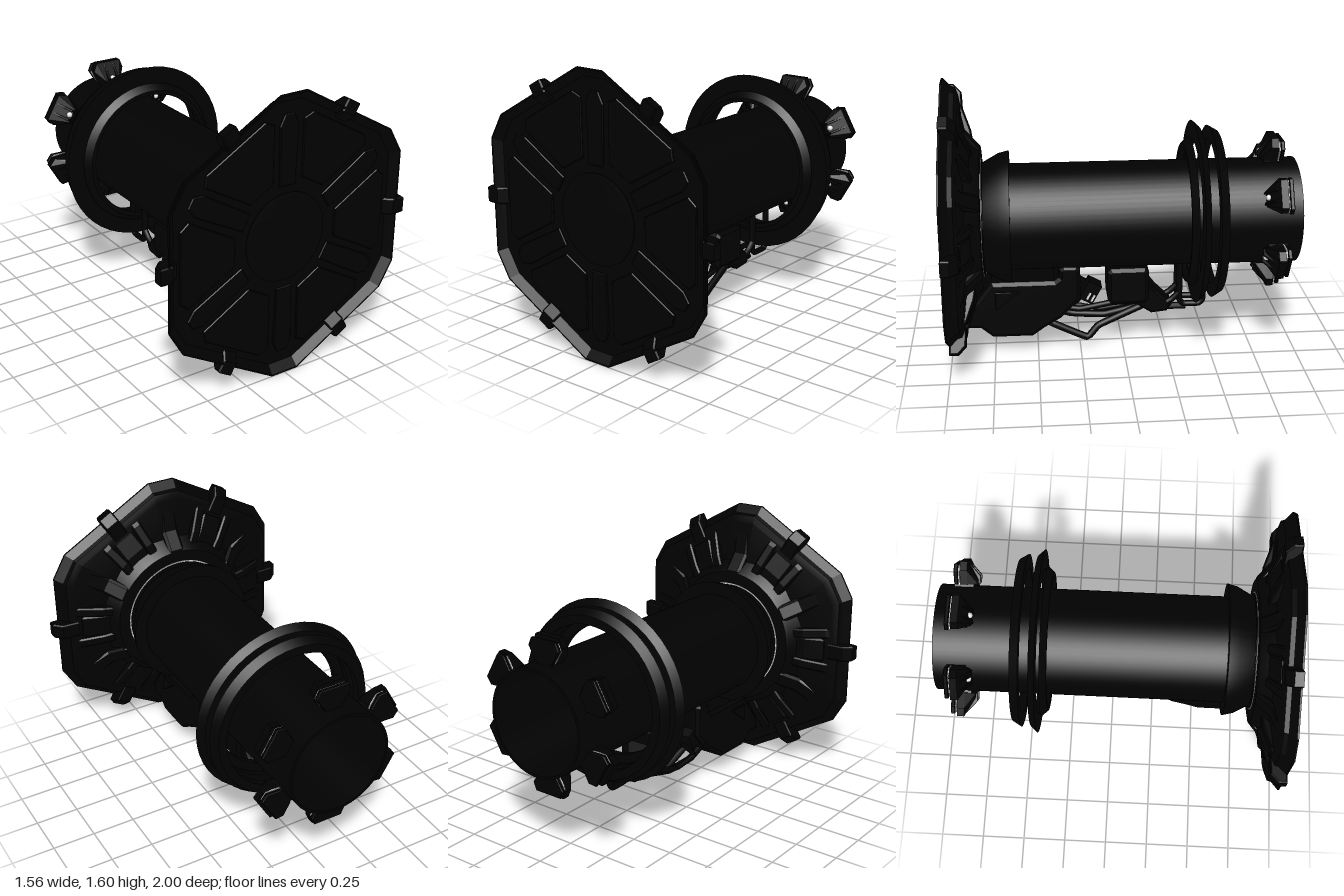
import * as THREE from 'three';
import { toCreasedNormals } from 'three/addons/utils/BufferGeometryUtils.js';
import { ConvexGeometry } from 'three/addons/geometries/ConvexGeometry.js';

const black = new THREE.MeshStandardMaterial({ color: 0x010101, side: THREE.DoubleSide });
black.name = 'black';
const white = new THREE.MeshStandardMaterial({ color: 0xf0f0f0, side: THREE.DoubleSide });
white.name = 'white';

const AXIS = 0.805; // height of the barrel axis

function add(parent, name, geometry, material = black) {
  const mesh = new THREE.Mesh(geometry, material);
  mesh.name = name;
  parent.add(mesh);
  return mesh;
}

// Turned part around the z axis from [radius, z] points
function turned(points, segments = 48) {
  const g = new THREE.LatheGeometry(points.map(p => new THREE.Vector2(...p)), segments);
  return toCreasedNormals(g.rotateX(Math.PI / 2), 0.5);
}

// Box between two corners
function box(x0, x1, y0, y1, z0, z1) {
  return new THREE.BoxGeometry(x1 - x0, y1 - y0, z1 - z0)
    .translate((x0 + x1) / 2, (y0 + y1) / 2, (z0 + z1) / 2);
}

const shapeOf = pts => new THREE.Shape(pts.map(p => new THREE.Vector2(...p)));

// Flat plate in xy between two depths, with a chamfered edge
function plate(shape, z0, z1, bevel = 0) {
  return new THREE.ExtrudeGeometry(shape, {
    depth: z1 - z0 - 2 * bevel, bevelEnabled: bevel > 0, bevelSize: bevel,
    bevelThickness: bevel, bevelOffset: -bevel, bevelSegments: 1, curveSegments: 8,
  }).translate(0, 0, z0 + bevel);
}

// Side profile of [z, y] points given a width in x
function sideBlock(pts, width, bevel = 0.015, x = 0) {
  return plate(shapeOf(pts), -width / 2, width / 2, bevel).rotateY(-Math.PI / 2).translate(x, 0, 0);
}

// Six copies around the z axis; local +y points outwards
function sixfold(parent, name, startDeg, build) {
  for (let i = 0; i < 6; i++) {
    const g = new THREE.Group();
    g.name = name;
    g.rotation.z = THREE.MathUtils.degToRad(startDeg + i * 60);
    build(g);
    parent.add(g);
  }
}

// Hexagon with cut corners
function outline(scale) {
  const pts = [];
  for (let i = 0; i < 6; i++) {
    for (const side of [-1, 1]) {
      const a = Math.PI / 6 + i * Math.PI / 3 + side * 0.1035;
      pts.push([Math.cos(a) * 0.808 * scale, Math.sin(a) * 0.808 * scale]);
    }
  }
  return pts;
}

// Stack of scaled outlines, [scale, z] each, closed at both ends
function outlineStack(levels) {
  const pos = [], idx = [], n = 12;
  for (const [s, z] of levels) for (const [x, y] of outline(s)) pos.push(x, y, z);
  for (let l = 0; l < levels.length - 1; l++) {
    for (let i = 0; i < n; i++) {
      const a = l * n + i, b = l * n + (i + 1) % n;
      idx.push(a, b, b + n, a, b + n, a + n);
    }
  }
  const last = (levels.length - 1) * n;
  for (let i = 1; i < n - 1; i++) idx.push(0, i + 1, i, last, last + i, last + i + 1);
  const g = new THREE.BufferGeometry();
  g.setAttribute('position', new THREE.Float32BufferAttribute(pos, 3));
  g.setIndex(idx);
  return toCreasedNormals(g, 0.3);
}

// Cable with tight bends
function cable(points, radius) {
  const curve = new THREE.CatmullRomCurve3(points.map(p => new THREE.Vector3(...p)), false, 'catmullrom', 0.15);
  return new THREE.TubeGeometry(curve, 40, radius, 10);
}

function buildHatch(g) {
  // Dished body: rear slope, sharp rim, shallow front recess
  add(g, 'hatchBody', outlineStack([[0.46, 0.86], [0.66, 0.895], [0.88, 0.91], [0.93, 0.925], [0.94, 0.95], [0.995, 0.99], [0.995, 1], [0.985, 1], [0.93, 0.96]]));
  // Low relief inside the recess
  add(g, 'frontBoss', turned([[0.25, 0.955], [0.25, 0.966], [0.235, 0.97], [0, 0.97]]));
  sixfold(g, 'frontSpoke', 0, s => {
    add(s, 'spokeBar', plate(shapeOf([[-0.05, 0.29], [0.05, 0.29], [0.06, 0.62], [0.03, 0.68], [-0.03, 0.68], [-0.06, 0.62]]), 0.95, 0.97, 0.005));
  });
  sixfold(g, 'frontPanel', 30, s => {
    add(s, 'panel', plate(shapeOf([[-0.08, 0.32], [0.08, 0.32], [0.24, 0.6], [0.2, 0.65], [-0.2, 0.65], [-0.24, 0.6]]), 0.95, 0.97, 0.005));
  });
  // Rear hub and raised ribs
  add(g, 'rearHub', turned([[0.3, 0.8], [0.41, 0.8], [0.425, 0.815], [0.46, 0.87], [0.5, 0.92]]));
  sixfold(g, 'rearSpoke', 0, s => {
    add(s, 'spokeRib', sideBlock([[0.93, 0.3], [0.8, 0.3], [0.8, 0.42], [0.88, 0.515], [0.915, 0.69], [0.95, 0.74], [0.95, 0.3]], 0.1));
    for (const side of [-1, 1]) {
      const rib = new THREE.Group();
      rib.name = 'branchRib';
      rib.position.set(side * 0.13, 0.4, 0);
      rib.rotation.z = -side * 0.42;
      add(rib, 'branch', sideBlock([[0.93, -0.05], [0.83, -0.05], [0.85, 0.08], [0.895, 0.21], [0.93, 0.26]], 0.06, 0.01));
      s.add(rib);
    }
  });
  sixfold(g, 'rearPocket', 30, s => {
    add(s, 'pocketBlock', sideBlock([[0.93, 0.4], [0.85, 0.42], [0.86, 0.5], [0.9, 0.61], [0.93, 0.62]], 0.15));
  });
  // Edge latches on the six long sides
  sixfold(g, 'edgeLatch', 30, s => {
    add(s, 'latch', sideBlock([[1, 0.71], [1, 0.782], [0.95, 0.782], [0.905, 0.735], [0.9, 0.63], [0.93, 0.63]], 0.095, 0.008));
  });
}

function buildBarrel(g) {
  add(g, 'barrel', turned([[0.29, 0.82], [0.29, -1], [0.305, -1], [0.305, 0.82]], 64));
  add(g, 'barrelFloor', new THREE.CircleGeometry(0.3, 48).translate(0, 0, 0.82));
  add(g, 'collar', turned([[0.3, 0.64], [0.38, 0.64], [0.365, 0.7], [0.315, 0.79], [0.3, 0.79]]));
  add(g, 'sealRing', turned([[0.3, 0.792], [0.333, 0.792], [0.333, 0.8]]));
  add(g, 'sealLine', turned([[0.333, 0.796], [0.341, 0.796], [0.341, 0.799]], 64), white);
  // Three open rings: rear z, rear radius, front z, front radius, inner radius
  const rings = [[-0.395, 0.435, -0.357, 0.4, 0.375], [-0.45, 0.495, -0.412, 0.53, 0.42], [-0.555, 0.47, -0.505, 0.5, 0.42]];
  for (const [z0, r0, z1, r1, ri] of rings) {
    add(g, 'guardRing', turned([[ri, z0], [r0, z0], [r1, z1], [ri, z1], [ri, z0]]));
  }
  // Six rear brackets, each a wedge and a back plate with a light shim between
  sixfold(g, 'rearBracket', 0, s => {
    const pts = [];
    for (const x of [-1, 1]) {
      for (const z of [-0.886, -0.845]) for (const [w, r] of [[0.06, 0.315], [0.1, 0.4], [0.08, 0.45]]) pts.push(new THREE.Vector3(x * w, r, z));
      pts.push(new THREE.Vector3(x * 0.045, 0.32, -0.785), new THREE.Vector3(x * 0.045, 0.345, -0.785));
    }
    add(s, 'wedge', new ConvexGeometry(pts));
    const back = [[-0.06, 0.315], [0.06, 0.315], [0.105, 0.39], [0.085, 0.435], [-0.085, 0.435], [-0.105, 0.39]];
    add(s, 'backPlate', plate(shapeOf(back), -0.92, -0.896, 0.004));
    add(s, 'shim', plate(shapeOf(back.map(([x, y]) => [x * 0.95, y * 0.97 + 0.005])), -0.895, -0.888), white);
    add(s, 'foot', box(-0.05, 0.05, 0.29, 0.33, -0.92, -0.81));
    // Recessed bolt between two cheeks
    add(s, 'bolt', new THREE.SphereGeometry(0.018, 12, 8).translate(0, 0.357, -0.793), white);
    for (const x of [-0.03, 0.03]) {
      add(s, 'cheek', sideBlock([[-0.84, 0.32], [-0.775, 0.32], [-0.772, 0.365], [-0.785, 0.38], [-0.84, 0.44]], 0.012, 0.002, x));
    }
  });
}

function buildUnderside(g) {
  add(g, 'pod', sideBlock([[0.92, 0.17], [0.83, 0.17], [0.76, 0.11], [0.53, 0.11], [0.46, 0.16], [0.36, 0.22], [0.25, 0.34], [0.25, 0.52], [0.27, 0.54], [0.35, 0.54], [0.37, 0.52], [0.375, 0.47], [0.4, 0.45], [0.76, 0.45], [0.9, 0.27]], 0.3, 0.02));
  for (const x of [-0.155, 0.155]) {
    add(g, 'podSidePanel', sideBlock([[0.74, 0.29], [0.74, 0.4], [0.6, 0.4]], 0.02, 0.004, x));
  }
  add(g, 'junctionBox', sideBlock([[0.09, 0.31], [0.09, 0.48], [0.07, 0.5], [-0.13, 0.5], [-0.15, 0.48], [-0.15, 0.31], [-0.13, 0.28], [0.07, 0.28]], 0.24, 0.02));
  add(g, 'junctionMount', box(-0.07, 0.07, 0.47, 0.53, -0.11, 0.05));
  add(g, 'cableBlock', sideBlock([[0, 0.3], [-0.14, 0.42], [-0.2, 0.34], [-0.29, 0.25], [-0.26, 0.21], [-0.17, 0.2], [-0.08, 0.26]], 0.16));
  // Slanted plugs with light contact strips
  for (const [z, y, x] of [[0.25, 0.3, -0.07], [0.18, 0.345, 0.07]]) {
    const plug = new THREE.Group();
    plug.name = 'plug';
    plug.position.set(x, y, z);
    plug.rotation.x = -0.5;
    add(plug, 'plugBody', box(-0.05, 0.05, -0.05, 0.07, -0.025, 0.06));
    for (const z0 of [-0.016, 0.012]) add(plug, 'contact', box(0.049, 0.053, -0.035, 0.01, z0, z0 + 0.012), white);
    g.add(plug);
  }
  // Cables and pipes
  add(g, 'cable', cable([[0.05, 0.21, 0.52], [0.07, 0.15, 0.4], [0.08, 0.065, 0.21], [0.06, 0.13, 0.14], [0.02, 0.23, -0.12]], 0.021));
  add(g, 'cable', cable([[-0.05, 0.22, 0.48], [-0.06, 0.16, 0.3], [-0.05, 0.15, 0.1], [-0.04, 0.21, -0.14]], 0.021));
  add(g, 'cable', cable([[0, 0.24, 0.4], [0.02, 0.22, 0.25], [0.03, 0.26, 0.05], [0, 0.25, -0.18]], 0.018));
  add(g, 'cable', cable([[-0.08, 0.29, 0.2], [-0.1, 0.2, 0.28], [-0.09, 0.17, 0.12], [-0.06, 0.22, -0.1]], 0.016));
  add(g, 'lowerPipe', cable([[0, 0.21, -0.16], [0, 0.21, -0.38]], 0.02));
  for (const x of [-0.06, 0.06]) {
    add(g, 'risingPipe', cable([[x, 0.23, -0.2], [x, 0.28, -0.29], [x, 0.33, -0.335], [x, 0.52, -0.335]], 0.018));
    add(g, 'ringPipe', cable([[x, 0.4, -0.335], [x, 0.28, -0.335], [x, 0.25, -0.36], [x, 0.25, -0.45], [x, 0.28, -0.475], [x, 0.52, -0.475]], 0.018));
  }
}

export function createModel() {
  const model = new THREE.Group();
  model.name = 'dockingTube';
  for (const [name, build, y] of [['hatch', buildHatch, AXIS], ['barrelAssembly', buildBarrel, AXIS], ['undersideEquipment', buildUnderside, 0]]) {
    const g = new THREE.Group();
    g.name = name;
    g.position.y = y;
    build(g);
    model.add(g);
  }
  return model;
}
